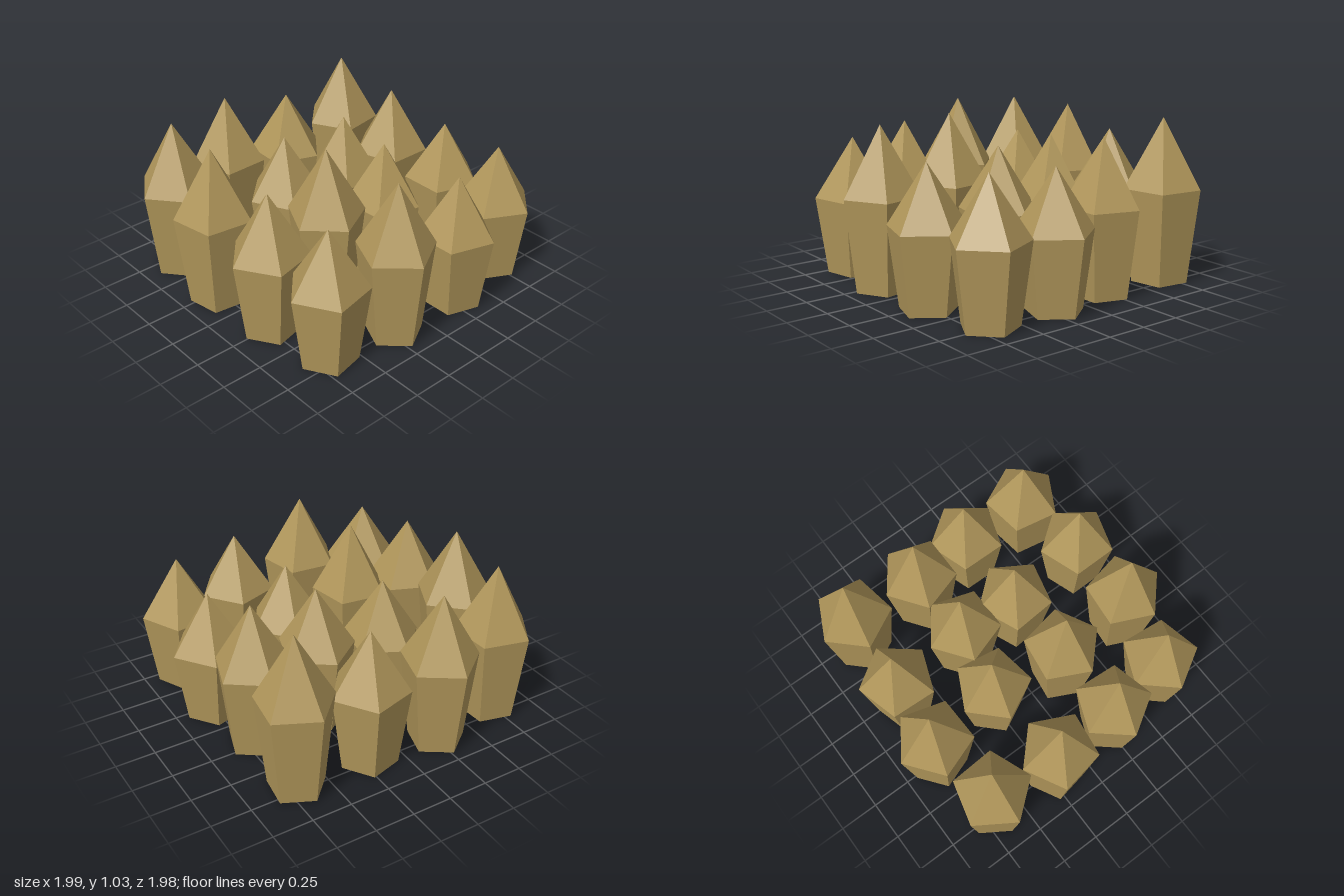
import * as THREE from 'three';

// Each stake: x, z, height, direction of one corner in degrees (from +x towards +z)
const STAKES = [
  [-0.70, -0.68, 1.02, 26], [-0.21, -0.68, 0.95, 36], [0.21, -0.75, 0.84, 54], [0.665, -0.74, 0.86, -8],
  [-0.71, -0.20, 0.89, -15.6], [-0.185, -0.24, 0.91, 35.5], [0.205, -0.22, 0.88, 49.4], [0.76, -0.29, 0.86, -19],
  [-0.755, 0.26, 0.995, 34], [-0.26, 0.18, 0.88, 27], [0.22, 0.26, 1.02, 8], [0.755, 0.20, 1.005, 6],
  [-0.66, 0.725, 1.005, 14.4], [-0.205, 0.765, 1.027, 43.5], [0.255, 0.72, 0.92, 22], [0.685, 0.65, 0.865, 23.5],
];
const BASE_RADIUS = 0.178;
const SHOULDER_RADIUS = 0.243;

// Five-sided stake: closed base, flared shaft, pointed tip
function stakeGeometry(height, cornerDegrees) {
  const shoulder = 0.66 * height - 0.085;
  const profile = [
    new THREE.Vector2(0, 0),
    new THREE.Vector2(BASE_RADIUS, 0),
    new THREE.Vector2(SHOULDER_RADIUS, shoulder),
    new THREE.Vector2(0, height),
  ];
  const start = THREE.MathUtils.degToRad(90 - cornerDegrees);
  return new THREE.LatheGeometry(profile, 5, start);
}

export function createModel() {
  const model = new THREE.Group();
  model.name = 'stakeField';
  const wood = new THREE.MeshStandardMaterial({ color: 0xb0965a, flatShading: true });
  wood.name = 'tanWood';

  // Four rows of four stakes
  STAKES.forEach(([x, z, height, corner], i) => {
    const stake = new THREE.Mesh(stakeGeometry(height, corner), wood);
    stake.name = `stakeRow${Math.floor(i / 4) + 1}Column${(i % 4) + 1}`;
    stake.position.set(x, 0, z);
    model.add(stake);
  });
  return model;
}
